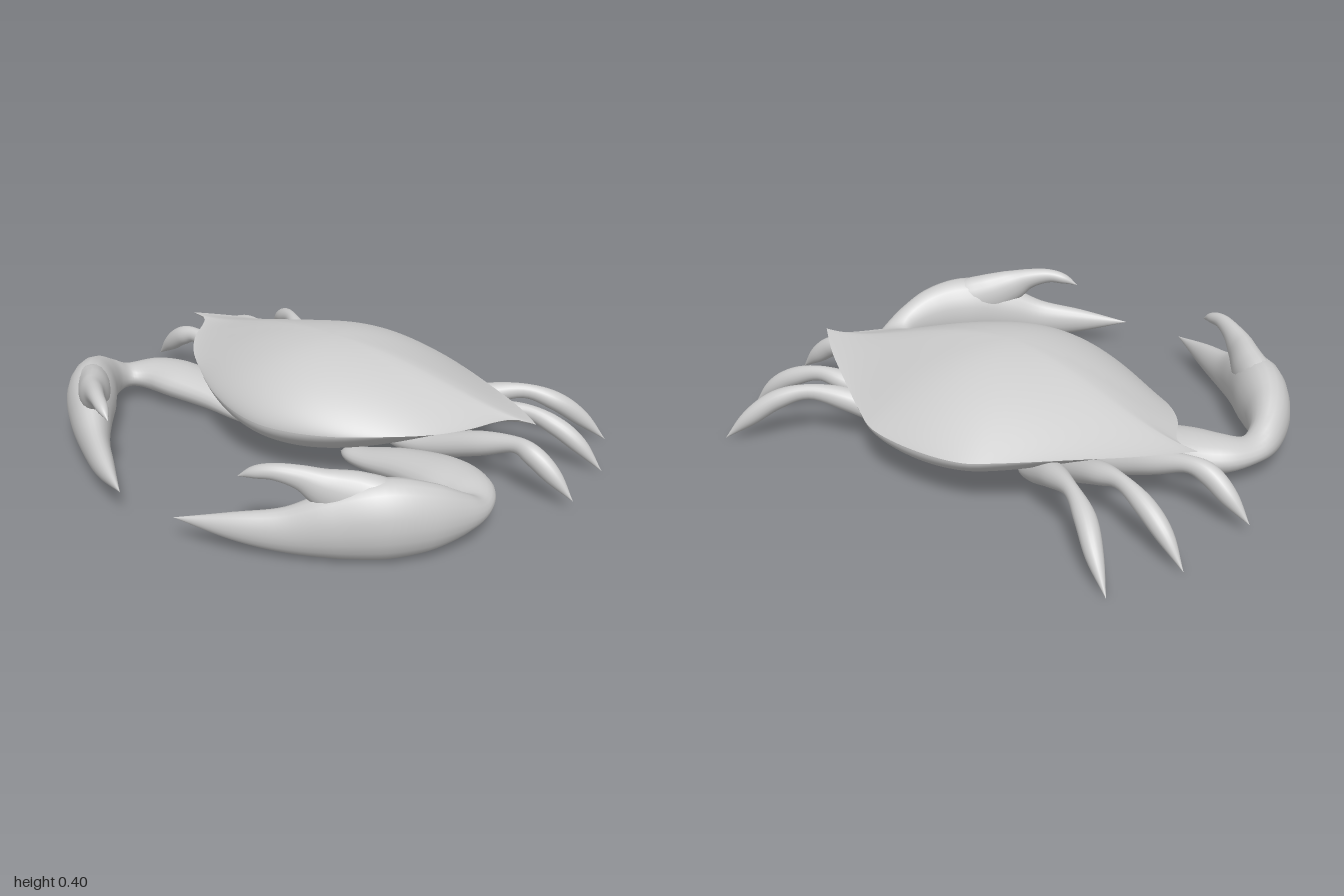
import * as THREE from 'three';

const material = new THREE.MeshStandardMaterial({ color: 0xcccccc });
const V = (x, y, z) => new THREE.Vector3(x, y, z);

function gridGeometry(positions, rows, cols, flip) {
  const index = [];
  for (let i = 0; i < rows; i++) {
    for (let j = 0; j < cols; j++) {
      const a = i * cols + j, b = i * cols + (j + 1) % cols;
      const c = a + cols, d = b + cols;
      if (flip) index.push(a, b, c, b, d, c);
      else index.push(a, c, b, b, c, d);
    }
  }
  const g = new THREE.BufferGeometry();
  g.setAttribute('position', new THREE.Float32BufferAttribute(positions, 3));
  g.setIndex(index);
  g.computeVertexNormals();
  return g;
}

// Smooth limb with elliptical sections; stations are [x, y, z, halfWidth, halfHeight]
function limb(name, stations, side) {
  const path = new THREE.CatmullRomCurve3(stations.map(s => V(s[0] * side, s[1], s[2])), false, 'catmullrom', 0.5);
  const size = new THREE.CatmullRomCurve3(stations.map(s => V(s[3], s[4], 0)), false, 'catmullrom', 0.5);
  const rows = (stations.length - 1) * 6, cols = 20, pos = [];
  for (let i = 0; i <= rows; i++) {
    const t = i / rows, c = path.getPoint(t), r = size.getPoint(t);
    const tangent = path.getTangent(t);
    const across = tangent.clone().cross(V(0, 1, 0)).normalize();
    const up = across.clone().cross(tangent);
    for (let j = 0; j < cols; j++) {
      const a = j / cols * Math.PI * 2;
      const p = c.clone()
        .addScaledVector(across, Math.cos(a) * Math.max(r.x, 0))
        .addScaledVector(up, Math.sin(a) * Math.max(r.y, 0));
      pos.push(p.x, p.y, p.z);
    }
  }
  const mesh = new THREE.Mesh(gridGeometry(pos, rows, cols, false), material);
  mesh.name = name;
  return mesh;
}

// Shell outline seen from above: two curves meeting at the side spikes
function shellOutline() {
  const spread = half => [...half, ...half.slice(0, -1).reverse().map(([x, z]) => [-x, z])];
  const curve = half => new THREE.CatmullRomCurve3(spread(half).map(([x, z]) => V(x, 0, z)));
  const front = curve([[0.82, -0.262], [0.745, -0.25], [0.705, -0.205], [0.655, -0.11], [0.57, -0.01], [0.44, 0.085], [0.29, 0.175], [0.14, 0.23], [0, 0.25]]);
  const back = curve([[0.82, -0.262], [0.68, -0.375], [0.5, -0.495], [0.3, -0.62], [0.2, -0.672], [0, -0.695]]);
  return [...front.getSpacedPoints(60).slice(0, -1), ...back.getSpacedPoints(60).reverse().slice(0, -1)];
}

// Running average of the outline, so the spikes leave no ridge across the shell
function soften(points, reach) {
  return points.map((_, i) => {
    const sum = V(0, 0, 0);
    for (let k = -reach; k <= reach; k++) sum.add(points[(i + k + points.length) % points.length]);
    return sum.divideScalar(2 * reach + 1);
  });
}

const rimHeight = z => z > -0.26
  ? 0.26 - 0.065 * Math.pow((z + 0.26) / 0.51, 1.4)
  : 0.26 - 0.07 * Math.pow((-0.26 - z) / 0.435, 1.2);

// Half of the body: rings shrink from the rim to the middle while rising or sinking
function shellHalf(name, height, power, flip) {
  const outline = shellOutline(), soft = soften(outline, 6);
  const rows = 32, pos = [], middle = -0.17;
  for (let i = 0; i <= rows; i++) {
    const s = Math.cos(i / rows * Math.PI / 2);
    outline.forEach((edge, j) => {
      const p = soft[j].clone().lerp(edge, Math.pow(s, 6));
      const f = Math.pow(Math.max(0, 1 - s * s), power(soft[j]));
      const y = rimHeight(p.z) * (1 - f) + height * f;
      pos.push(p.x * s, y, middle + (p.z - middle) * s);
    });
  }
  const mesh = new THREE.Mesh(gridGeometry(pos, rows, outline.length, flip), material);
  mesh.name = name;
  return mesh;
}

const arm = [
  [0.18, 0.05, 0, 0, 0], [0.22, 0.055, 0, 0.035, 0.025], [0.3, 0.06, 0, 0.055, 0.038],
  [0.45, 0.08, -0.01, 0.08, 0.055], [0.62, 0.095, -0.003, 0.106, 0.065], [0.745, 0.1, 0.03, 0.092, 0.06],
  [0.818, 0.104, 0.11, 0.062, 0.044], [0.825, 0.12, 0.2, 0.06, 0.075], [0.777, 0.138, 0.31, 0.078, 0.118],
  [0.685, 0.147, 0.42, 0.092, 0.139], [0.575, 0.128, 0.52, 0.075, 0.118], [0.45, 0.102, 0.61, 0.051, 0.08],
  [0.3, 0.1, 0.7, 0.034, 0.048], [0.125, 0.105, 0.79, 0, 0],
];
const upperFinger = [
  [0.76, 0.17, 0.34, 0, 0], [0.7, 0.19, 0.4, 0.06, 0.08], [0.615, 0.215, 0.465, 0.06, 0.09],
  [0.545, 0.25, 0.53, 0.047, 0.07], [0.48, 0.285, 0.575, 0.034, 0.042],
  [0.41, 0.3, 0.62, 0.026, 0.028], [0.35, 0.29, 0.65, 0.02, 0.02], [0.3, 0.268, 0.672, 0, 0],
];
const legs = {
  frontLeg: [
    [0.22, 0.06, -0.2, 0, 0], [0.28, 0.06, -0.2, 0.035, 0.03], [0.42, 0.075, -0.21, 0.045, 0.045],
    [0.62, 0.14, -0.22, 0.045, 0.045], [0.76, 0.18, -0.225, 0.028, 0.03], [0.84, 0.165, -0.22, 0.034, 0.038],
    [0.92, 0.11, -0.225, 0.028, 0.032], [1, 0.04, -0.23, 0, 0],
  ],
  middleLeg: [
    [0.22, 0.06, -0.26, 0, 0], [0.27, 0.065, -0.28, 0.035, 0.03], [0.38, 0.09, -0.335, 0.048, 0.045],
    [0.55, 0.165, -0.42, 0.043, 0.04], [0.66, 0.19, -0.46, 0.024, 0.028], [0.77, 0.155, -0.49, 0.033, 0.035],
    [0.86, 0.095, -0.515, 0.028, 0.03], [0.945, 0.01, -0.54, 0, 0],
  ],
  rearLeg: [
    [0.23, 0.085, -0.4, 0, 0], [0.265, 0.09, -0.42, 0.033, 0.03], [0.34, 0.12, -0.46, 0.045, 0.043],
    [0.45, 0.17, -0.525, 0.043, 0.043], [0.57, 0.195, -0.6, 0.024, 0.028], [0.67, 0.16, -0.665, 0.035, 0.035],
    [0.75, 0.09, -0.73, 0.028, 0.03], [0.83, 0.005, -0.785, 0, 0],
  ],
};

export function createModel() {
  const crab = new THREE.Group();
  crab.name = 'crab';

  // Body: domed carapace steep at the front, flaring into the spikes, over a full rounded belly
  const flare = p => Math.pow(Math.abs(p.x) / 0.82, 2);
  const rear = p => THREE.MathUtils.smoothstep(-p.z, -0.1, 0.6);
  crab.add(shellHalf('carapace', 0.405, p => 0.57 + 0.31 * rear(p) + 1.1 * flare(p), false));
  crab.add(shellHalf('belly', 0.035, p => 0.5 + 1.1 * flare(p), true));

  // Claws and walking legs on both sides
  for (const [label, side] of [['left', 1], ['right', -1]]) {
    const claw = new THREE.Group();
    claw.name = label + 'Claw';
    claw.add(limb('armAndLowerFinger', arm, side), limb('upperFinger', upperFinger, side));
    crab.add(claw);
    for (const [name, stations] of Object.entries(legs)) {
      crab.add(limb(label + name[0].toUpperCase() + name.slice(1), stations, side));
    }
  }
  return crab;
}
